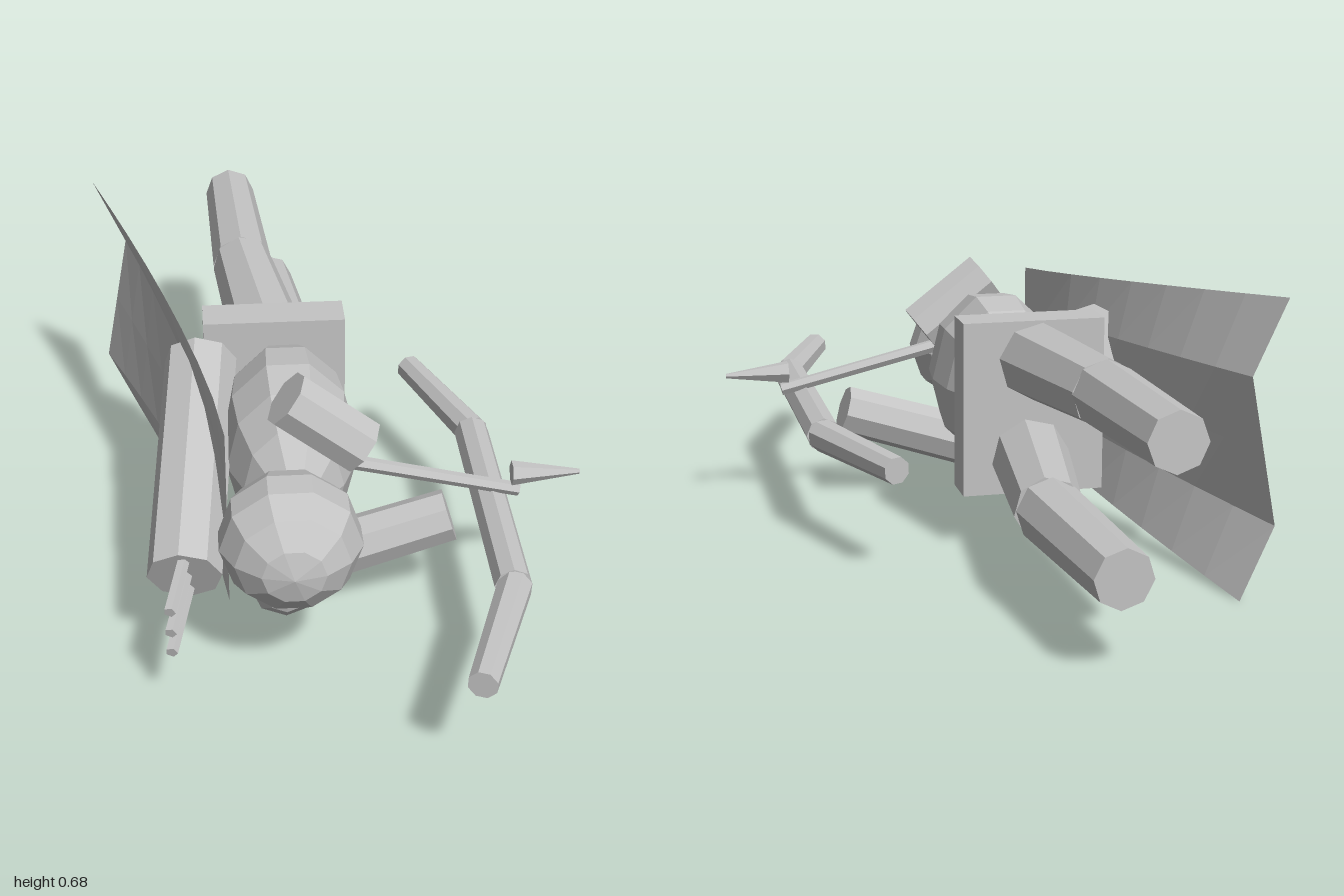
import * as THREE from 'three';

export function createModel() {
  const model = new THREE.Group();
  model.name = 'archerFigure';
  const grey = new THREE.MeshStandardMaterial({ color: 0xc4c4c4, flatShading: true, side: THREE.DoubleSide });
  grey.name = 'light grey';

  const add = (name, geometry, x = 0, y = 0, z = 0) => {
    const mesh = new THREE.Mesh(geometry, grey);
    mesh.name = name;
    mesh.position.set(x, y, z);
    model.add(mesh);
    return mesh;
  };

  // Tapered cylinder running from point a to point b
  const rod = (name, a, b, ra, rb, sides = 8) => {
    const start = new THREE.Vector3(...a), end = new THREE.Vector3(...b);
    const dir = end.clone().sub(start);
    const mesh = add(name, new THREE.CylinderGeometry(rb, ra, dir.length(), sides));
    mesh.position.copy(start).add(end).multiplyScalar(0.5);
    mesh.quaternion.setFromUnitVectors(new THREE.Vector3(0, 1, 0), dir.normalize());
    return mesh;
  };

  // Faceted ball with its poles along z
  const ball = (name, c, r, sides, rings) =>
    add(name, new THREE.SphereGeometry(1, sides, rings).rotateX(Math.PI / 2).scale(...r), ...c);

  // Body
  ball('head', [-0.12, 0.343, 0.55], [0.162, 0.152, 0.162], 10, 7);
  ball('torso', [-0.1, 0.35, 0.15], [0.162, 0.215, 0.29], 10, 8);
  add('hips', new THREE.BoxGeometry(0.342, 0.42, 0.1), -0.12, 0.345, -0.11);

  // Legs: hip, knee and foot points
  const legs = {
    upper: [[-0.125, 0.455, -0.12], [-0.178, 0.473, -0.555], [-0.197, 0.483, -0.998]],
    lower: [[-0.118, 0.225, -0.12], [-0.055, 0.215, -0.555], [-0.092, 0.208, -0.998]],
  };
  for (const [side, [hip, knee, foot]] of Object.entries(legs)) {
    rod(side + 'Thigh', hip, knee, 0.095, 0.078);
    rod(side + 'Shin', knee, foot, 0.077, 0.066);
  }

  // Drawing arm with three fingers
  rod('drawingArm', [-0.3, 0.475, -0.03], [-0.355, 0.242, 0.53], 0.087, 0.085);
  for (const y of [0.26, 0.205, 0.153])
    rod('finger', [-0.345, y + 0.045, 0.5], [-0.388, y, 0.688], 0.014, 0.014, 5);

  // Bow arm with a ball shoulder, and the short arm above it
  ball('shoulder', [-0.123, 0.104, 0.35], [0.095, 0.095, 0.095], 8, 6);
  rod('bowArm', [-0.12, 0.118, 0.325], [0.262, 0.238, 0.325], 0.068, 0.062);
  rod('shortArm', [-0.115, 0.57, 0.33], [0.055, 0.438, 0.33], 0.068, 0.068);

  // Bow: grip and two limbs
  rod('bowGrip', [0.36, 0.262, 0], [0.36, 0.262, 0.65], 0.042, 0.042);
  rod('bowLimb', [0.363, 0.262, 0], [0.243, 0.262, -0.335], 0.04, 0.033);
  rod('bowLimb', [0.363, 0.262, 0.65], [0.243, 0.262, 0.985], 0.04, 0.033);

  // Arrow
  rod('arrowShaft', [-0.03, 0.408, 0.325], [0.422, 0.3, 0.325], 0.017, 0.016, 6);
  rod('arrowHead', [0.404, 0.345, 0.325], [0.562, 0.342, 0.325], 0.029, 0.006, 6);

  // Cape: a sheet that widens and ripples toward its free end
  const cape = new THREE.PlaneGeometry(1, 1, 4, 8);
  const ripple = [-0.046, 0.032, 0, -0.032, 0.044];
  const pos = cape.attributes.position;
  for (let i = 0; i < pos.count; i++) {
    const v = pos.getX(i) + 0.5, t = 0.5 - pos.getY(i);
    const bend = Math.pow(t, 1.3);
    const top = THREE.MathUtils.lerp(0.563, 0.684, t);
    const bottom = THREE.MathUtils.lerp(0.125, 0, t);
    pos.setXYZ(i,
      -0.256 - 0.261 * bend + ripple[Math.round(v * 4)] * bend,
      THREE.MathUtils.lerp(top, bottom, v),
      0.47 - 1.105 * t);
  }
  cape.computeVertexNormals();
  add('cape', cape);

  return model;
}
